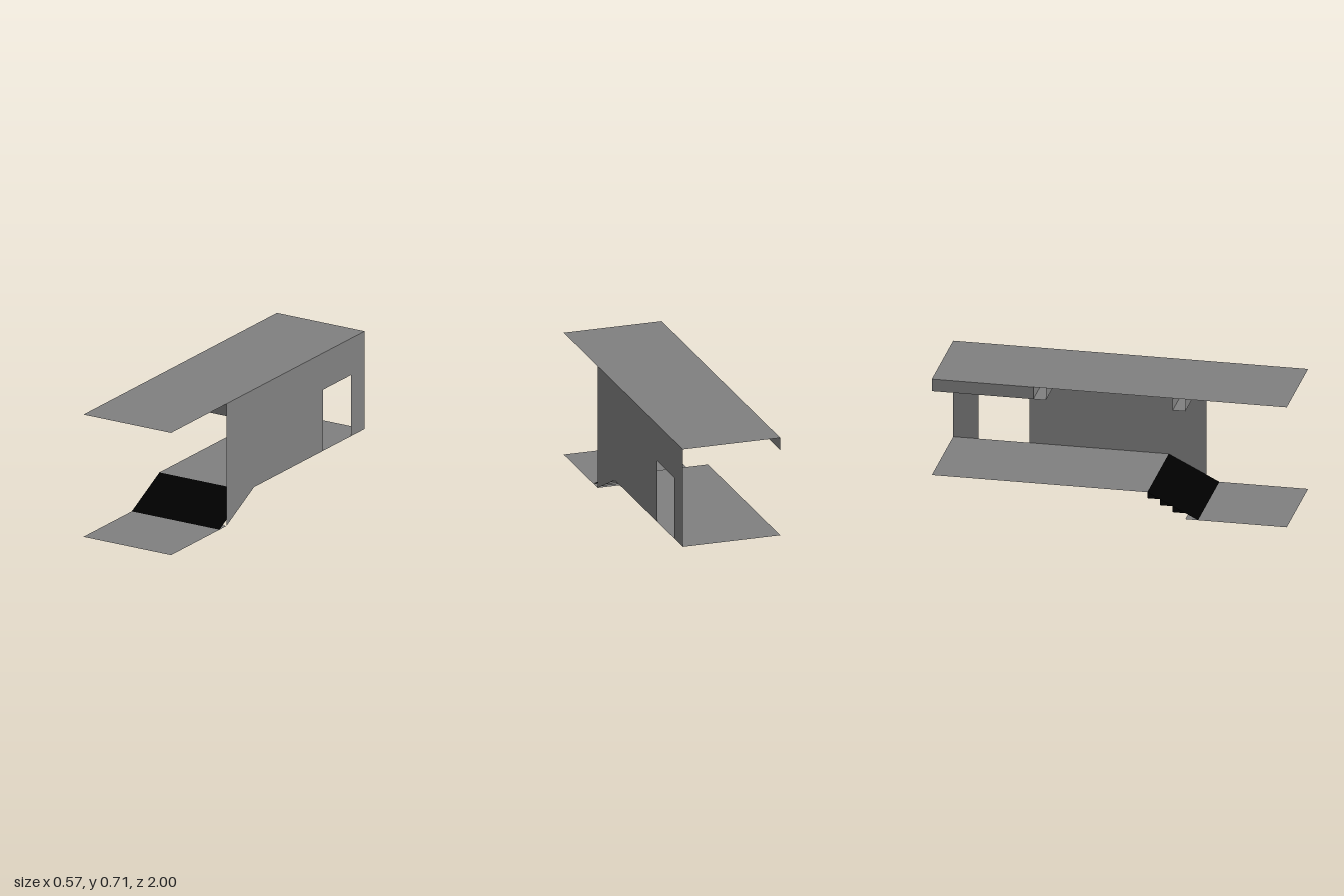
import * as THREE from 'three';

const U = 1 / 14;      // grid module
const W = 4 * U;       // half width

const concrete = new THREE.MeshStandardMaterial({ color: 0x808080, side: THREE.DoubleSide });
concrete.name = 'concrete grey';
const black = new THREE.MeshStandardMaterial({ color: 0x000000, side: THREE.DoubleSide });
black.name = 'ramp black';

// Sheet spanning the full width, following a path of [z, y] points in modules
function sheet(name, path, material = concrete) {
  const positions = [];
  for (let i = 0; i < path.length - 1; i++) {
    const [z0, y0] = path[i].map((v) => v * U);
    const [z1, y1] = path[i + 1].map((v) => v * U);
    positions.push(-W, y0, z0, W, y1, z1, -W, y1, z1);
    positions.push(-W, y0, z0, W, y0, z0, W, y1, z1);
  }
  const geometry = new THREE.BufferGeometry();
  geometry.setAttribute('position', new THREE.Float32BufferAttribute(positions, 3));
  geometry.computeVertexNormals();
  const mesh = new THREE.Mesh(geometry, material);
  mesh.name = name;
  return mesh;
}

// Flat panel in the side plane at x, outlined by [z, y] points in modules
function panel(name, x, outline, material = concrete) {
  const shape = new THREE.Shape(outline.map(([z, y]) => new THREE.Vector2(z * U, y * U)));
  const geometry = new THREE.ShapeGeometry(shape);
  geometry.rotateY(-Math.PI / 2);
  const mesh = new THREE.Mesh(geometry, material);
  mesh.position.x = x;
  mesh.name = name;
  return mesh;
}

export function createModel() {
  const model = new THREE.Group();
  model.name = 'coveredPassage';

  // Roof and the two floor levels
  model.add(sheet('roof', [[14, 10], [-14, 10]]));
  model.add(sheet('upperFloor', [[3, 2], [-14, 2]]));
  model.add(sheet('lowerFloor', [[14, 0], [6, 0]]));

  // Side wall with a doorway and a sloping foot
  model.add(panel('sideWall', W, [
    [6, 0], [6, 10], [-14, 10], [-14, 2], [-12, 2],
    [-12, 7], [-8, 7], [-8, 2], [2, 2],
  ]));

  // Stairs between the floors, open under the lowest step
  const steps = [[3, 2]];
  for (let i = 0; i < 3; i++) steps.push([3 + i, 1.5 - i * 0.5], [4 + i, 1.5 - i * 0.5]);
  model.add(sheet('stairs', steps));

  // Ramp over the stair edges, with closed triangles on the open side
  model.add(sheet('ramp', [[7, 0], [3, 2]], black));
  for (let i = 0; i < 3; i++) {
    const y = 2 - i * 0.5;
    model.add(panel('rampSide', -W, [[3 + i, y], [3 + i, y - 0.5], [4 + i, y - 0.5]], black));
  }

  // Hollow ceiling beams and the valance on the open side
  for (const z of [5, -6]) {
    model.add(sheet('ceilingBeam', [[z, 10], [z, 9], [z + 1, 9], [z + 1, 10]]));
  }
  model.add(panel('valance', -W, [[-14, 9], [-6, 9], [-6, 10], [-14, 10]]));

  return model;
}
